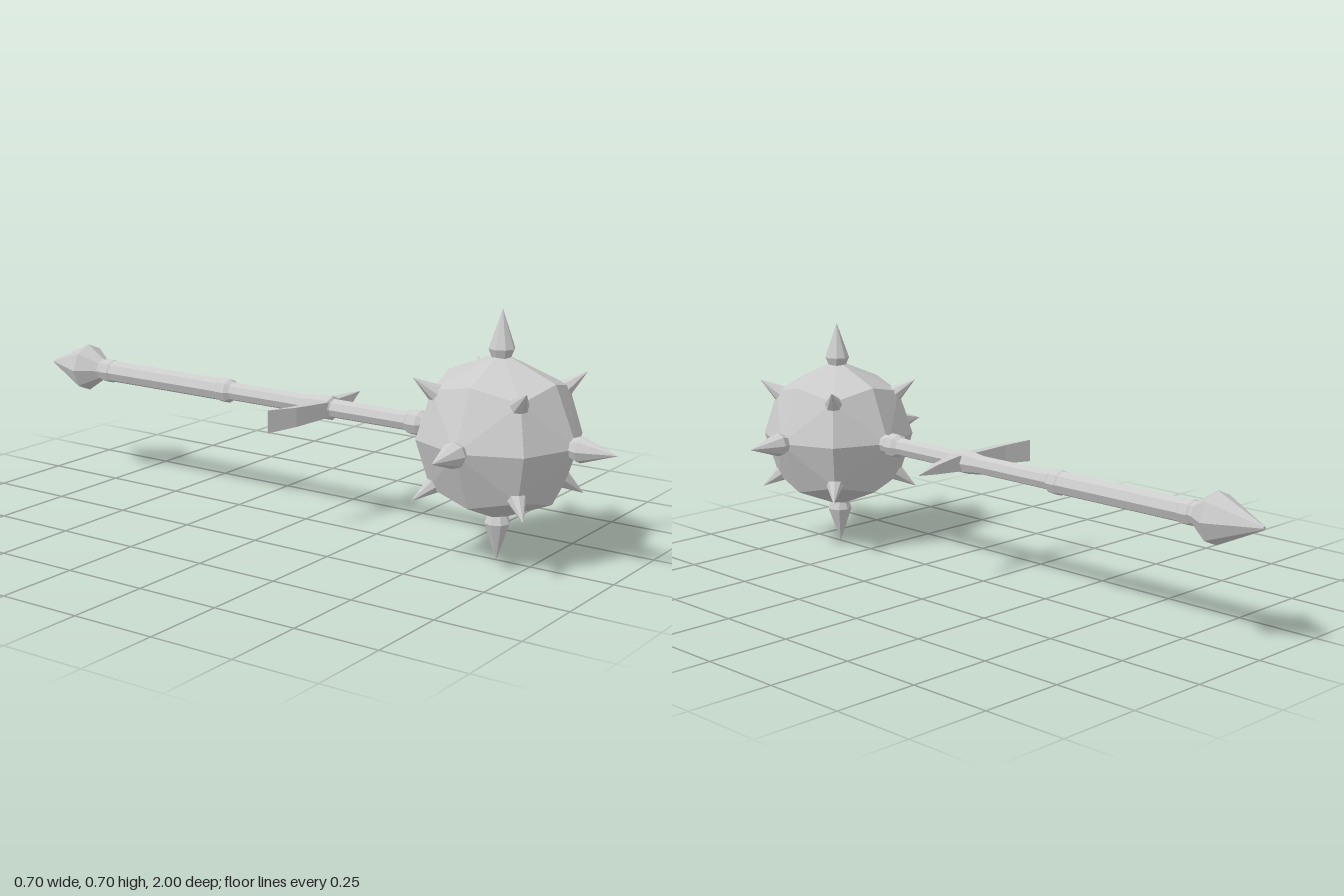
import * as THREE from 'three';
import { ConvexGeometry } from 'three/addons/geometries/ConvexGeometry.js';

const AXIS_Y = 0.355, HEAD_Z = 0.645, R = 0.234;

export function createModel() {
  const model = new THREE.Group();
  model.name = 'spikedMace';
  const mat = new THREE.MeshStandardMaterial({ color: 0xcccccc, flatShading: true });
  const add = (name, geo, parent) => {
    const mesh = new THREE.Mesh(geo, mat);
    mesh.name = name;
    parent.add(mesh);
    return mesh;
  };
  const lathe = (pts) =>
    new THREE.LatheGeometry(pts.map(([r, y]) => new THREE.Vector2(r, y)), 8);

  // Faceted head: a cube split 2x2 per side, pushed out to a sphere
  const head = new THREE.Group();
  head.name = 'head';
  head.position.set(0, AXIS_Y, HEAD_Z);
  model.add(head);
  const dirs = [];
  for (const x of [-1, 0, 1])
    for (const y of [-1, 0, 1])
      for (const z of [-1, 0, 1])
        if (x || y || z) dirs.push(new THREE.Vector3(x, y, z));
  add('ball', new ConvexGeometry(dirs.map((d) => d.clone().setLength(R))), head);

  // Spikes: long on the axes, sunk deeper on the corners, none where the shaft enters
  const spikeGeo = lathe([[0, -0.03], [0.026, -0.03], [0.026, -0.018], [0.037, 0.01], [0, 0.118]]);
  const up = new THREE.Vector3(0, 1, 0);
  for (const d of dirs) {
    const order = d.lengthSq();
    if (order === 2 || (order === 1 && d.z === -1)) continue;
    const spike = add(order === 1 ? 'axisSpike' : 'cornerSpike', spikeGeo, head);
    spike.position.copy(d).setLength(order === 1 ? R : R - 0.054);
    spike.quaternion.setFromUnitVectors(up, d.clone().normalize());
  }

  // Handle parts are turned around z; profile points are [radius, z]
  const handle = new THREE.Group();
  handle.name = 'handle';
  handle.position.y = AXIS_Y;
  handle.rotation.x = Math.PI / 2;
  model.add(handle);
  add('shaft', lathe([[0.028, -0.3], [0.028, 0], [0.036, 0.06], [0.036, 0.095],
    [0.028, 0.1], [0.028, 0.47]]), handle);
  add('grip', lathe([[0.034, -0.75], [0.034, -0.31], [0.028, -0.3]]), handle);
  for (const z of [0.38, -0.295, -0.76])
    add('collar', lathe([[0.028, z - 0.028], [0.037, z - 0.014], [0.037, z + 0.014],
      [0.028, z + 0.028]]), handle);
  add('pommel', lathe([[0, -1], [0.005, -1], [0.074, -0.85], [0.034, -0.79], [0.03, -0.765]]), handle);

  // Swept crossguard: one wing flares to an upright edge, the other tapers to a point
  // Each station is [x, z, half depth, half height]
  const stations = [
    [-0.24, 0.04, 0.001, 0.033], [-0.15, 0.065, 0.01, 0.028], [-0.04, 0.08, 0.017, 0.023],
    [0.04, 0.08, 0.017, 0.023], [0.13, 0.065, 0.01, 0.014], [0.22, 0.04, 0.001, 0.001],
  ];
  const pos = [], idx = [];
  stations.forEach(([x, z, hz, hy], i) => {
    for (const [sy, sz] of [[-1, -1], [-1, 1], [1, 1], [1, -1]])
      pos.push(x, AXIS_Y + sy * hy, z + sz * hz);
    if (i === 0) return;
    for (let k = 0; k < 4; k++) {
      const a = (i - 1) * 4 + k, b = (i - 1) * 4 + ((k + 1) % 4);
      idx.push(a, a + 4, b, b, a + 4, b + 4);
    }
  });
  const e = (stations.length - 1) * 4;
  idx.push(0, 1, 2, 0, 2, 3, e, e + 2, e + 1, e, e + 3, e + 2);
  const guard = new THREE.BufferGeometry();
  guard.setAttribute('position', new THREE.Float32BufferAttribute(pos, 3));
  guard.setIndex(idx);
  guard.computeVertexNormals();
  add('crossguard', guard, model);

  return model;
}
